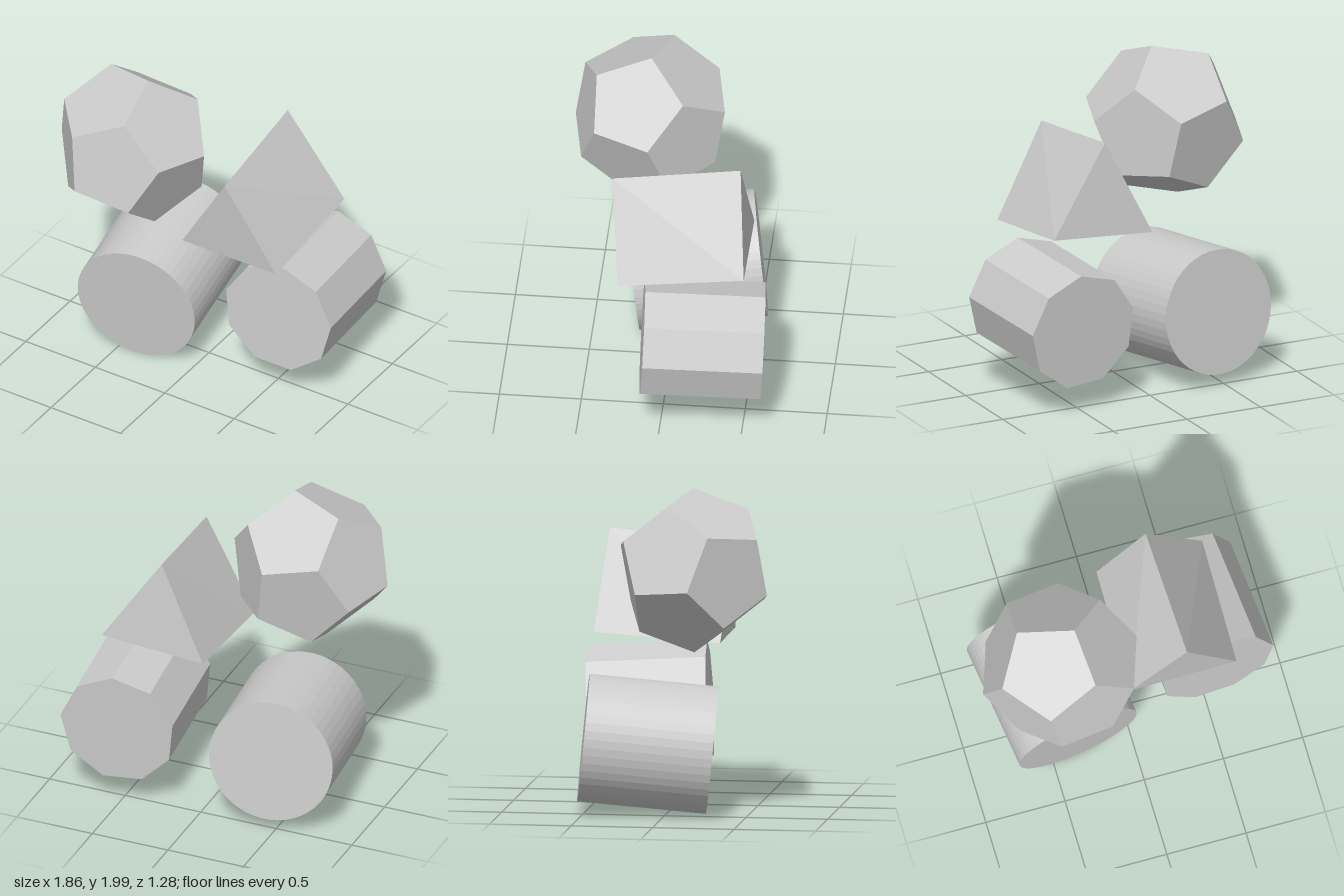
import * as THREE from 'three';

const V = (x, y, z) => new THREE.Vector3(x, y, z);
const material = new THREE.MeshStandardMaterial({ color: 0xcccccc, flatShading: true });

function part(name, geometry) {
  const mesh = new THREE.Mesh(geometry, material);
  mesh.name = name;
  return mesh;
}

// Regular prism running from a back centre to a front centre
function rod(name, front, back, radius, sides, startAngle) {
  const axis = front.clone().sub(back);
  const geometry = new THREE.CylinderGeometry(radius, radius, axis.length(), sides, 1, false, startAngle);
  geometry.rotateX(Math.PI / 2);
  const mesh = part(name, geometry);
  mesh.quaternion.setFromUnitVectors(V(0, 0, 1), axis.normalize());
  mesh.position.copy(front).add(back).multiplyScalar(0.5);
  return mesh;
}

// Solid between two matching end polygons, corners clockwise seen from the front
function loft(front, back) {
  const points = [];
  const n = front.length;
  for (let i = 0; i < n; i++) {
    const j = (i + 1) % n;
    points.push(front[i], back[j], back[i], front[i], front[j], back[j]);
  }
  for (let i = 1; i < n - 1; i++) {
    points.push(front[0], front[i + 1], front[i], back[0], back[i], back[i + 1]);
  }
  // Corner order is turned so every face points outward
  for (let i = 0; i < points.length; i += 3) {
    const [a, b, c] = points.slice(i, i + 3);
    const normal = b.clone().sub(a).cross(c.clone().sub(a));
    const centre = V(0, 0, 0);
    [...front, ...back].forEach((p) => centre.addScaledVector(p, 1 / (2 * n)));
    if (normal.dot(a.clone().sub(centre)) < 0) [points[i + 1], points[i + 2]] = [c, b];
  }
  const geometry = new THREE.BufferGeometry().setFromPoints(points);
  geometry.computeVertexNormals();
  return geometry;
}

// Rotation frame from a face normal and one corner of that face
function frame(normal, corner) {
  const a = normal.clone().normalize();
  const b = a.clone().cross(corner).normalize();
  return new THREE.Matrix4().makeBasis(a, b, a.clone().cross(b));
}

export function createModel() {
  const model = new THREE.Group();
  model.name = 'geometricSolids';

  // Round cylinder, lower right
  model.add(rod('cylinder', V(-0.352, 0.393, 0.27), V(-0.465, 0.47, -0.503), 0.389, 48, 0));

  // Nine-sided prism, lower left
  model.add(rod('nineSidedPrism', V(0.571, 0.563, 0.121), V(0.506, 0.526, -0.606), 0.365, 9, 3.072));

  // Slightly twisted triangular prism, upper left
  model.add(part('triangularPrism', loft(
    [V(0.32, 1.567, 0.325), V(0.65, 1.0, 0.265), V(-0.02, 1.0, 0.27)],
    [V(0.28, 1.653, -0.45), V(0.653, 1.1, -0.505), V(-0.015, 1.053, -0.505)],
  )));

  // Dodecahedron, upper right, turned so one face looks forward
  const t = (1 + Math.sqrt(5)) / 2;
  const dodecahedron = part('dodecahedron', new THREE.DodecahedronGeometry(0.499));
  const turn = frame(V(0.222, 0.182, 0.958), V(-0.124, -0.13, 0.467))
    .multiply(frame(V(1, 0, t), V(t, 0, 1 / t)).transpose());
  dodecahedron.quaternion.setFromRotationMatrix(turn);
  dodecahedron.position.set(-0.439, 1.507, 0.171);
  model.add(dodecahedron);

  return model;
}
